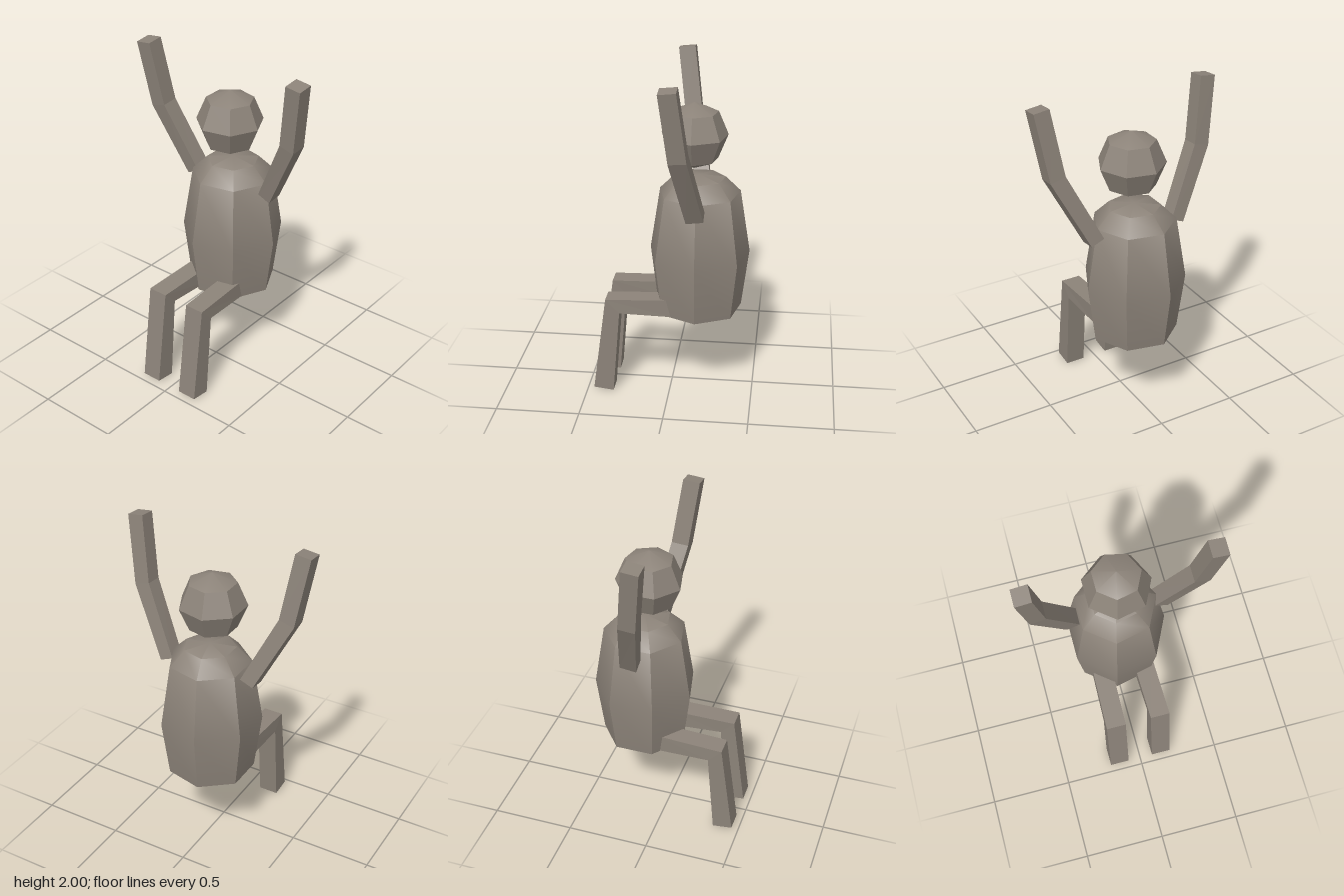
import * as THREE from 'three';
import { toCreasedNormals } from 'three/addons/utils/BufferGeometryUtils.js';

const material = new THREE.MeshStandardMaterial({ color: 0x8c8379 });

// Seven-sided turned form with one corner pointing to +x; profile is [radius, y] from bottom to top
function turned(name, profile, z) {
  const points = profile.map(([r, y]) => new THREE.Vector2(r, y));
  const lathe = new THREE.LatheGeometry(points, 7, Math.PI / 2);
  const mesh = new THREE.Mesh(toCreasedNormals(lathe, THREE.MathUtils.degToRad(40)), material);
  mesh.name = name;
  mesh.position.z = z;
  return mesh;
}

// Four-sided bent limb skinned through rings of corners, capped at both ends
function limb(name, rings, side) {
  const loops = rings.map((ring) => {
    const loop = ring.map(([x, y, z]) => [x * side, y, z]);
    return side < 0 ? loop.reverse() : loop;
  });
  const positions = [];
  const quad = (a, b, c, d) => positions.push(...a, ...b, ...c, ...a, ...c, ...d);
  for (let s = 0; s < loops.length - 1; s++) {
    const [p, q] = [loops[s], loops[s + 1]];
    for (let i = 0; i < 4; i++) {
      const j = (i + 1) % 4;
      quad(p[i], p[j], q[j], q[i]);
    }
  }
  quad(...[...loops[0]].reverse());
  quad(...loops[loops.length - 1]);
  const geometry = new THREE.BufferGeometry();
  geometry.setAttribute('position', new THREE.Float32BufferAttribute(positions, 3));
  geometry.computeVertexNormals();
  const mesh = new THREE.Mesh(geometry, material);
  mesh.name = name;
  return mesh;
}

// Arm ring: inner and outer edge [x, y], back and front z, drop of the front edge
const armRing = ([xi, yi], [xo, yo], back, front, drop = 0) => [
  [xi, yi, back], [xi, yi - drop, front], [xo, yo - drop, front], [xo, yo, back],
];

// Leg ring: inner and outer x, upper and lower edge [y, z]
const legRing = (xi, xo, [yu, zu], [yl, zl]) => [
  [xi, yu, zu], [xi, yl, zl], [xo, yl, zl], [xo, yu, zu],
];

export function createModel() {
  const model = new THREE.Group();
  model.name = 'seatedFigure';

  // Torso, widest at the belly
  model.add(turned('torso', [
    [0, 0.48], [0.262, 0.51], [0.307, 0.86], [0.245, 1.245], [0.155, 1.335], [0, 1.355],
  ], -0.16));

  // Floating head: a coarse ball of four bands
  const ball = [];
  for (let i = 0; i <= 4; i++) {
    const a = (i / 4) * Math.PI;
    ball.push([i % 4 ? 0.2 * Math.sin(a) : 0, 1.59 - 0.198 * Math.cos(a)]);
  }
  model.add(turned('head', ball, -0.127));

  // Raised arms: shoulder, elbow, hand
  const arm = [
    armRing([0.225, 1.205], [0.305, 1.172], -0.21, -0.11, 0.012),
    armRing([0.42, 1.61], [0.513, 1.585], -0.135, -0.033, 0.008),
    armRing([0.48, 2.0], [0.575, 1.988], -0.085, 0.015, 0.01),
  ];
  // Seated legs: hip, knee, foot
  const leg = [
    legRing(0.07, 0.19, [0.622, -0.02], [0.513, -0.02]),
    legRing(0.08, 0.2, [0.61, 0.38], [0.525, 0.297]),
    legRing(0.08, 0.2, [0.0, 0.34], [0.0, 0.34]),
  ];
  leg[2] = legRing(0.08, 0.2, [0.015, 0.46], [0.0, 0.34]);

  for (const [side, label] of [[1, 'left'], [-1, 'right']]) {
    model.add(limb(`${label}Arm`, arm, side));
    model.add(limb(`${label}Leg`, leg, side));
  }
  return model;
}
